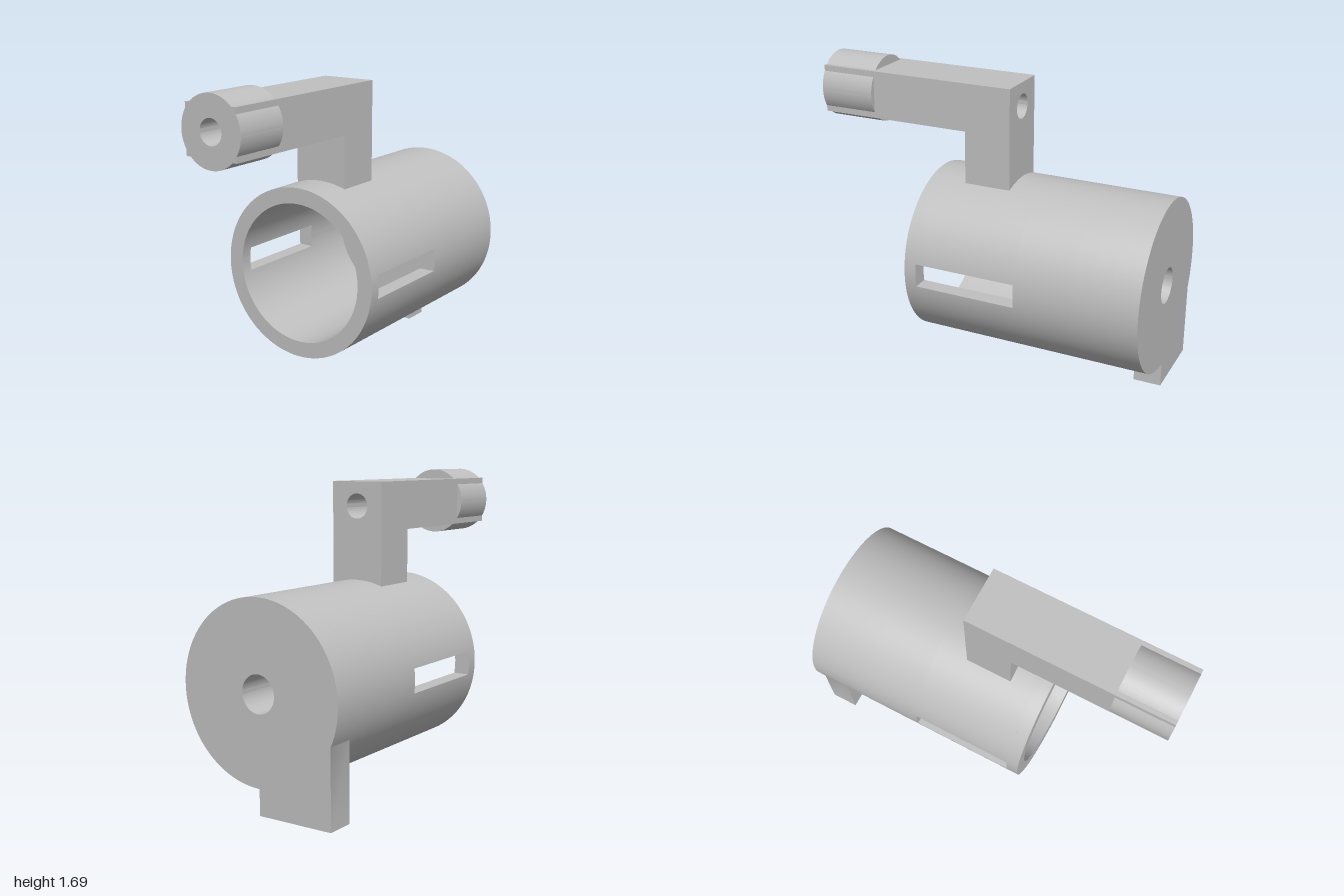
import * as THREE from 'three';
import { toCreasedNormals } from 'three/addons/utils/BufferGeometryUtils.js';

export function createModel() {
  const model = new THREE.Group();
  const grey = new THREE.MeshStandardMaterial({ color: 0xc0c0c0 });
  grey.name = 'grey';

  // Extrude an x/y outline from z0 to z1, centred at height y
  const slab = (name, shape, y, z0, z1) => {
    const geo = new THREE.ExtrudeGeometry(shape, { depth: z1 - z0, bevelEnabled: false, curveSegments: 128 });
    const mesh = new THREE.Mesh(toCreasedNormals(geo, 0.5), grey);
    mesh.name = name;
    mesh.position.set(0, y, z0);
    model.add(mesh);
    return mesh;
  };
  const disc = (r) => new THREE.Shape().absarc(0, 0, r, 0, Math.PI * 2);
  const pierce = (shape, r) => {
    shape.holes.push(new THREE.Path().absarc(0, 0, r, 0, Math.PI * 2, true));
    return shape;
  };

  // Barrel: open at the front, with a slot through each side
  const barrelY = 0.618, R = 0.479, r = 0.391, slot = 0.066;
  const slotFront = 0.265, slotBack = -0.315, cavityEnd = -0.64;
  slab('barrelRim', pierce(disc(R), r), barrelY, slotFront, 0.333);
  slab('barrelTube', pierce(disc(R), r), barrelY, cavityEnd, slotBack);
  const outer = Math.asin(slot / R), inner = Math.asin(slot / r);
  const half = new THREE.Shape();
  half.absarc(0, 0, R, outer, Math.PI - outer);
  half.absarc(0, 0, r, Math.PI - inner, inner, true);
  half.closePath();
  slab('slottedWallTop', half, barrelY, slotBack, slotFront);
  slab('slottedWallBottom', half, barrelY, slotBack, slotFront).rotation.z = Math.PI;

  // Thick barrel end with a blind hole, and a square foot flush with the back
  const hole = 0.1, footX = 0.435, footFront = -0.845;
  slab('barrelFloor', disc(R), barrelY, -0.74, cavityEnd);
  slab('barrelEnd', pierce(disc(R), hole), barrelY, footFront, -0.74);
  const plate = new THREE.Shape();
  plate.absarc(0, 0, R, -Math.PI / 2, Math.PI + Math.acos(footX / R));
  plate.lineTo(-footX, -barrelY);
  plate.lineTo(0, -barrelY);
  plate.closePath();
  slab('backPlateWithFoot', pierce(plate, hole), barrelY, -1, footFront);

  // Post rising from the barrel
  const w = 0.158, h = 0.133, armY = 1.498, bore = 0.068;
  const post = new THREE.Mesh(new THREE.BoxGeometry(2 * w, armY - h - 1.05, 0.265), grey);
  post.name = 'post';
  post.position.set(0, (armY - h + 1.05) / 2, -0.0125);
  model.add(post);

  // Bored arm reaching forward
  const bar = new THREE.Shape();
  bar.moveTo(-w, -h).lineTo(w, -h).lineTo(w, h).lineTo(-w, h).closePath();
  slab('arm', pierce(bar, bore), armY, -0.145, 0.682);

  // Round collar merged with the square arm, so the arm corners stand proud
  const C = 0.187, side = Math.acos(w / C), top = Math.acos(h / C);
  const collar = new THREE.Shape();
  [[side, w, h], [top, -w, h], [side, -w, -h], [top, w, -h]].forEach(([a, x, y], i) => {
    const mid = i * Math.PI / 2;
    collar.absarc(0, 0, C, mid - a, mid + a);
    collar.lineTo(x, y);
  });
  collar.closePath();
  slab('collar', pierce(collar, bore), armY, 0.682, 1);

  return model;
}
